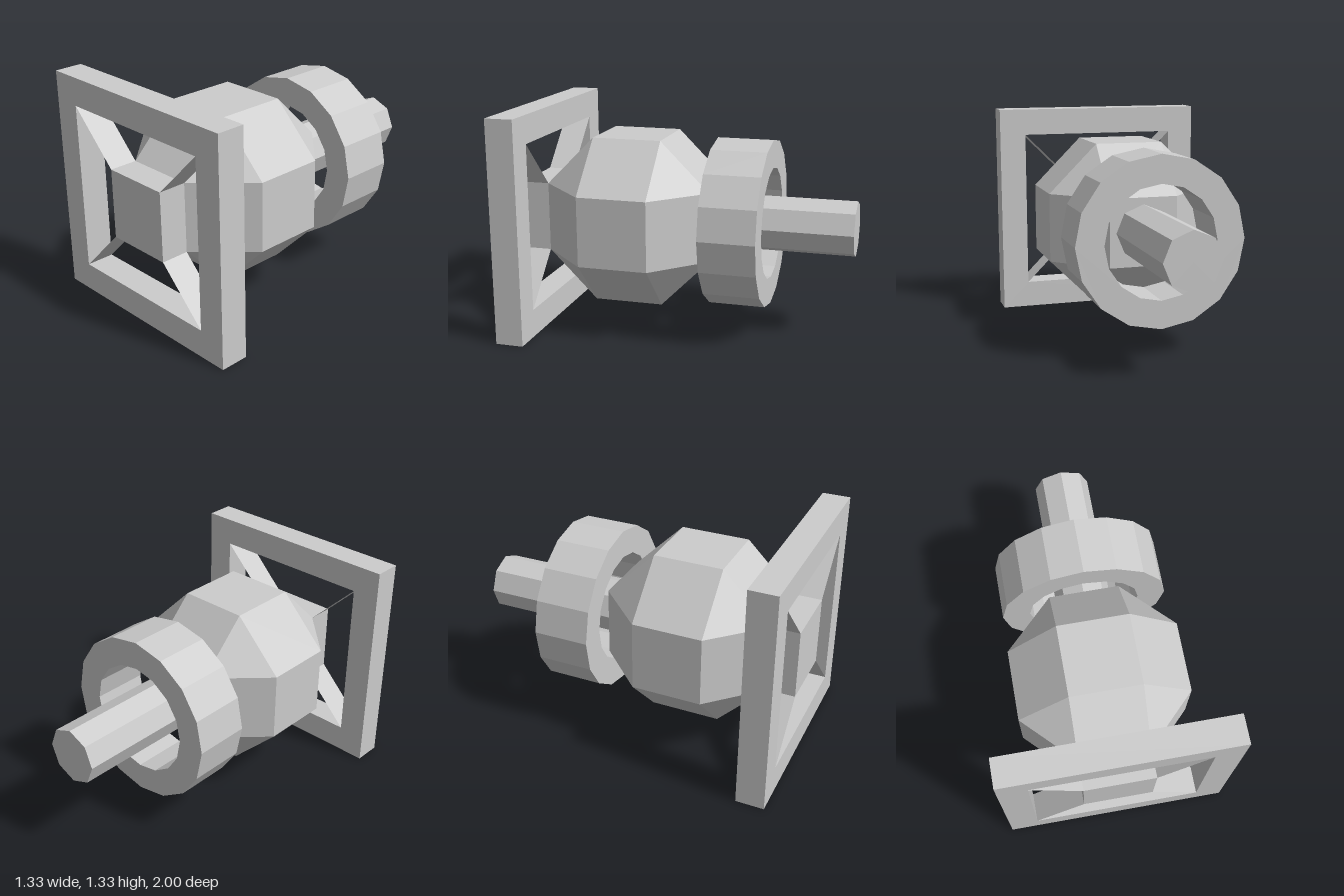
import * as THREE from 'three';
import { ConvexGeometry } from 'three/addons/geometries/ConvexGeometry.js';

const CY = 2 / 3;      // height of the main axis
const R = 0.5;         // body and ring radius
const S = 0.2071;      // half side of the body's square faces
const T = 1 / 6;       // frame thickness

export function createModel() {
  const group = new THREE.Group();
  const mat = new THREE.MeshStandardMaterial({ color: 0xcccccc, flatShading: true });
  const thin = new THREE.MeshStandardMaterial({ color: 0xcccccc, flatShading: true, side: THREE.DoubleSide });

  const add = (name, geometry, z, material = mat) => {
    const mesh = new THREE.Mesh(geometry, material);
    mesh.name = name;
    mesh.position.set(0, CY, z);
    group.add(mesh);
    return mesh;
  };
  // Regular polygon outline with its first corner at angle "start"
  const polygon = (radius, sides, start = 0) =>
    Array.from({ length: sides }, (_, i) => {
      const a = start + (i / sides) * Math.PI * 2;
      return new THREE.Vector2(Math.cos(a) * radius, Math.sin(a) * radius);
    });
  const hollow = (outer, inner, depth) => {
    const shape = new THREE.Shape(outer);
    shape.holes.push(new THREE.Path(inner));
    return new THREE.ExtrudeGeometry(shape, { depth, bevelEnabled: false });
  };

  // Square front frame
  const q = Math.PI / 4;
  add('frontFrame', hollow(polygon((2 / 3) * Math.SQRT2, 4, q), polygon(R * Math.SQRT2, 4, q), T), 1 - T);

  // Central block inside the frame
  add('frontBlock', new THREE.BoxGeometry(S * 2, S * 2, T), 1 - T / 2);

  // Thin diagonal webs joining block corners to frame corners
  for (let i = 0; i < 4; i++) {
    const web = new THREE.PlaneGeometry((R - S) * Math.SQRT2, T);
    web.rotateX(Math.PI / 2);
    web.translate(((R + S) / 2) * Math.SQRT2, 0, 0);
    add('frameWeb', web, 1 - T / 2, thin).rotation.z = q + (i * Math.PI) / 2;
  }

  // Faceted body: squares on all axes, bevels between, triangles at corners
  const points = [];
  for (const x of [-1, 1]) for (const y of [-1, 1]) for (const z of [-1, 1]) {
    points.push(
      new THREE.Vector3(x * R, y * S, z * S),
      new THREE.Vector3(x * S, y * R, z * S),
      new THREE.Vector3(x * S, y * S, z * R)
    );
  }
  add('body', new ConvexGeometry(points), 1 / 3);

  // Rear ring
  add('rearRing', hollow(polygon(R, 16), polygon(1 / 3, 16), 1 / 3), -0.5);

  // Rear shaft running from the body through the ring
  const shaft = new THREE.CylinderGeometry(T, T, 1 - T, 8);
  shaft.rotateX(Math.PI / 2);
  add('rearShaft', shaft, -(1 + T) / 2);

  return group;
}
